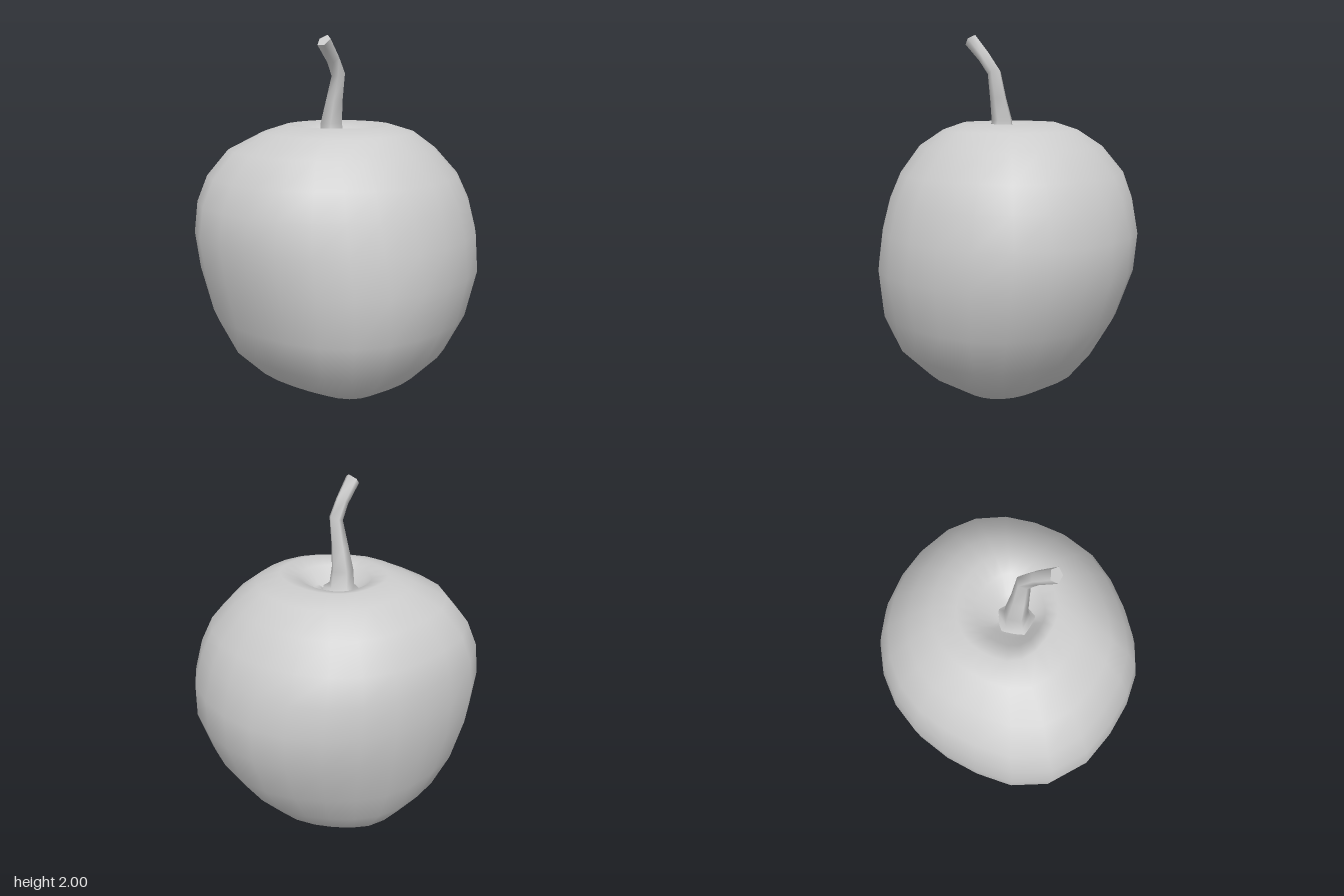
import * as THREE from 'three';

// Skin closed rings of points (bottom to top) into a smooth surface.
function loft(rings) {
  const n = rings[0].length, index = [];
  for (let j = 0; j < rings.length - 1; j++) {
    for (let i = 0; i < n; i++) {
      const a = j * n + i, b = j * n + (i + 1) % n;
      index.push(a, a + n, b, b, a + n, b + n);
    }
  }
  const geometry = new THREE.BufferGeometry();
  geometry.setAttribute('position', new THREE.Float32BufferAttribute(rings.flat(2), 3));
  geometry.setIndex(index);
  geometry.computeVertexNormals();
  return geometry;
}

// Fruit body: each row is height and reach to -x, +x, +z, -z.
const BODY = [
  [0.02, 0.0005, 0.0005, 0.0005, 0.0005],
  [0.0, 0.07, 0.07, 0.08, 0.09],
  [0.05, 0.21, 0.20, 0.25, 0.30],
  [0.15, 0.40, 0.38, 0.42, 0.45],
  [0.30, 0.55, 0.51, 0.57, 0.56],
  [0.50, 0.645, 0.635, 0.665, 0.64],
  [0.75, 0.70, 0.72, 0.715, 0.70],
  [0.95, 0.73, 0.725, 0.695, 0.715],
  [1.12, 0.71, 0.68, 0.655, 0.70],
  [1.26, 0.65, 0.62, 0.59, 0.66],
  [1.40, 0.55, 0.50, 0.47, 0.55],
  [1.49, 0.38, 0.38, 0.36, 0.40],
  [1.53, 0.25, 0.25, 0.25, 0.29],
  [1.50, 0.19, 0.15, 0.17, 0.20],
  [1.43, 0.15, 0.07, 0.09, 0.13],
  [1.40, 0.06, -0.04, -0.01, 0.03],
];

// Fullness of the four diagonal corners, blended from base to shoulder.
function fullness(c, s, y) {
  const [low, high] = s > 0 ? (c > 0 ? [1.05, 1.05] : [1.06, 0.93])
    : (c > 0 ? [0.94, 1.01] : [1.12, 1.12]);
  const corner = THREE.MathUtils.lerp(low, high, THREE.MathUtils.smoothstep(y, 0.3, 1.2));
  return 1 + (corner - 1) * 4 * c * c * s * s;
}

function bodyGeometry(sides = 24) {
  return loft(BODY.map(([y, left, right, front, back]) =>
    Array.from({ length: sides }, (_, i) => {
      const a = i / sides * Math.PI * 2, c = Math.cos(a), s = Math.sin(a);
      const k = fullness(c, s, y);
      return [c * k * (c > 0 ? right : left), y, s * k * (s > 0 ? front : back)];
    })));
}

// Stem: centre x, y, z, radius and tilt of each five-sided ring.
const STEM = [
  [-0.05, 1.41, -0.02, 0.12, 0],
  [-0.055, 1.45, -0.025, 0.07, 0],
  [-0.055, 1.54, -0.03, 0.06, 0],
  [-0.06, 1.66, -0.005, 0.047, 0.05],
  [-0.062, 1.80, 0.025, 0.038, 0.35],
  [-0.12, 1.88, 0.04, 0.036, 0.75],
  [-0.207, 1.972, 0.055, 0.04, 0.78],
];

function stemRing([x, y, z, r, tilt], sides = 5) {
  return Array.from({ length: sides }, (_, i) => {
    const a = i / sides * Math.PI * 2, u = r * Math.cos(a);
    return [x + u * Math.cos(tilt), y + u * Math.sin(tilt), z + r * Math.sin(a)];
  });
}

export function createModel() {
  const group = new THREE.Group();
  group.name = 'apple';
  const grey = new THREE.MeshStandardMaterial({ color: 0xcccccc });
  grey.name = 'light grey';

  const add = (name, geometry) => {
    const mesh = new THREE.Mesh(geometry, grey);
    mesh.name = name;
    group.add(mesh);
  };

  add('fruit', bodyGeometry());
  add('stem', loft(STEM.map((row) => stemRing(row))));

  // Flat cut end of the stem
  const [x, y, z, r, tilt] = STEM[STEM.length - 1];
  add('stemTip', loft([stemRing([x, y, z, r, tilt]), stemRing([x, y, z, 0.0005, tilt])]));

  return group;
}
